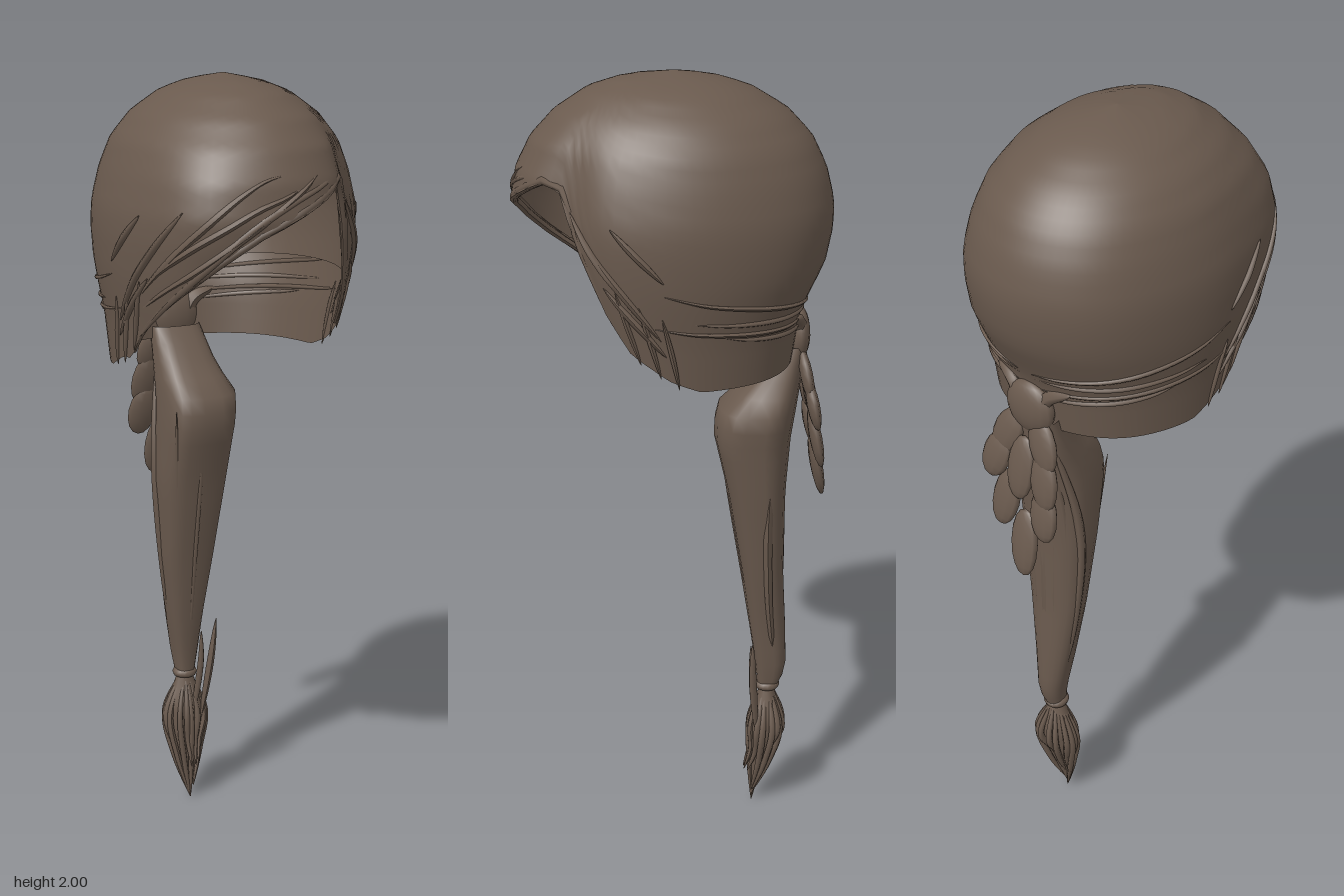
import * as THREE from 'three';

const DEG = Math.PI / 180;

// piecewise linear lookup in rows of [key, value, ...]
function look(table, key, col = 1) {
  let i = 1;
  while (i < table.length - 1 && key > table[i][0]) i++;
  const a = table[i - 1], b = table[i];
  const t = Math.min(1, Math.max(0, (key - a[0]) / (b[0] - a[0])));
  return a[col] + (b[col] - a[col]) * t;
}

// closed-ring surface: fn(row fraction, angle in degrees) -> Vector3
function rings(rows, cols, fn) {
  const pos = [], idx = [];
  for (let i = 0; i <= rows; i++) {
    for (let j = 0; j < cols; j++) {
      const p = fn(i / rows, (j / cols) * 360 - 180);
      pos.push(p.x, p.y, p.z);
      if (i === rows) continue;
      const a = i * cols + j, b = i * cols + (j + 1) % cols;
      idx.push(a, a + cols, b + cols, a, b + cols, b);
    }
  }
  const g = new THREE.BufferGeometry();
  g.setAttribute('position', new THREE.Float32BufferAttribute(pos, 3));
  g.setIndex(idx);
  g.computeVertexNormals();
  return g;
}

// head outline by height: y, half width, front depth, back depth
const LEVELS = [
  [1.3, 0.275, 0.25, 0.288], [1.44, 0.288, 0.31, 0.308], [1.48, 0.295, 0.325, 0.328],
  [1.56, 0.305, 0.35, 0.365], [1.64, 0.308, 0.375, 0.38], [1.7, 0.304, 0.385, 0.38],
  [1.78, 0.284, 0.37, 0.36], [1.85, 0.258, 0.335, 0.325], [1.91, 0.212, 0.28, 0.268],
  [1.96, 0.145, 0.205, 0.185], [1.985, 0.08, 0.13, 0.105], [2, 0, 0, 0],
];
// lower edge of the hair by angle from the front, towards +x
const HEM = [
  [-180, 1.31], [-100, 1.31], [-82, 1.35], [-74, 1.35], [-68, 1.41], [-58, 1.46], [-42, 1.54],
  [-30, 1.6], [-16, 1.66], [0, 1.7], [18, 1.74], [34, 1.78], [42, 1.75], [50, 1.62], [58, 1.5],
  [68, 1.4], [85, 1.34], [100, 1.31], [180, 1.31],
];

// point on the head at an angle and height
function onHead(deg, y, scale = 1) {
  const s = Math.sin(deg * DEG), c = Math.cos(deg * DEG);
  const low = THREE.MathUtils.smoothstep(2 - y, 0.05, 0.25);
  const bump = (at, w) => Math.exp(-(((deg - at) / w) ** 2));
  const k = scale * (1 + low * (0.08 * bump(-42, 22) - 0.08 * bump(46, 12)
    + 0.02 * bump(-138, 20) + 0.02 * bump(138, 20)));
  return new THREE.Vector3(
    look(LEVELS, y) * s * k, y, look(LEVELS, y, c > 0 ? 2 : 3) * c * k);
}

export function createModel() {
  const group = new THREE.Group();
  const hair = new THREE.MeshStandardMaterial({ color: 0x6a5a4e, side: THREE.DoubleSide });
  hair.name = 'brown hair';

  const add = (name, geometry, parent = group) => {
    const mesh = new THREE.Mesh(geometry, hair);
    mesh.name = name;
    parent.add(mesh);
    return mesh;
  };
  const addGroup = (name) => {
    const g = new THREE.Group();
    g.name = name;
    group.add(g);
    return g;
  };

  // tapered strand through a few points
  const lock = (name, points, radius, parent, endTaper = 0.1) => {
    const curve = new THREE.CatmullRomCurve3(points);
    const n = 24, sides = 6;
    const g = new THREE.TubeGeometry(curve, n, radius, sides);
    const p = g.attributes.position, v = new THREE.Vector3();
    for (let i = 0; i <= n; i++) {
      const c = curve.getPointAt(i / n);
      const k = Math.max(endTaper, Math.sin(Math.PI * i / n) ** 0.6);
      for (let j = 0; j <= sides; j++) {
        const q = i * (sides + 1) + j;
        v.fromBufferAttribute(p, q).sub(c).multiplyScalar(k).add(c);
        p.setXYZ(q, v.x, v.y, v.z);
      }
    }
    g.computeVertexNormals();
    add(name, g, parent);
  };

  // strand lying on the head between two [angle, height] points
  const sweep = (name, from, to, radius, parent, bend = 1) => {
    const pts = [];
    for (let k = 0; k <= 6; k++) {
      const t = k / 6;
      pts.push(onHead(from[0] + (to[0] - from[0]) * t, from[1] + (to[1] - from[1]) * t ** bend, 1.004));
    }
    lock(name, pts, radius, parent);
  };

  // swept cap with a slanted fringe
  add('hairCap', rings(28, 80, (t, a) => onHead(a, 2 - (2 - look(HEM, a)) * t ** 1.6)));

  // inner scalp, ending above the nape
  add('innerScalp', rings(16, 40, (t, a) => {
    const hem = Math.max(look(HEM, a) + 0.02, 1.495 + 0.035 * Math.abs(Math.sin(a * DEG)));
    return onHead(a, 1.98 - (1.98 - hem) * t ** 1.6, 0.95);
  }));

  // thick edge around the face
  const rim = [];
  for (let a = -84; a <= 74; a += 6) rim.push(onHead(a, look(HEM, a) + 0.008, 0.98));
  lock('fringeEdge', rim, 0.011, group, 0.5);

  // fringe folds sweeping from the parting to the other side
  const fringe = addGroup('fringeFolds');
  for (let i = 0; i < 4; i++) {
    const pts = [];
    for (let k = 0; k <= 6; k++) {
      const a = 34 - 12 * i - k * (17 - 2 * i);
      pts.push(onHead(a, look(HEM, a) + 0.02 + i * 0.03 + 0.02 * Math.sin(k * 0.8 + i * 2), 0.994));
    }
    lock('fringeFold', pts, 0.009, fringe);
  }

  // side strands falling from the temples, then drawn back to the knot
  const strands = addGroup('sideStrands');
  for (const side of [-1, 1]) {
    for (const [a0, y0, a1, y1] of [
      [46, 1.72, 74, 1.5], [54, 1.66, 82, 1.44], [60, 1.56, 84, 1.4], [66, 1.7, 84, 1.58],
    ]) sweep('templeStrand', [side * a0, y0], [side * a1, y1], 0.009, strands);
    for (const [a0, y0, a1, y1] of [
      [84, 1.55, 176, 1.465], [96, 1.48, 176, 1.45], [80, 1.47, 174, 1.42], [110, 1.44, 174, 1.4],
    ]) sweep('drawnStrand', [side * a0, y0], [side * a1, y1], 0.006, strands, 0.7);
    for (const a of [70, 79, 88]) {
      const y = look(HEM, side * a);
      sweep('earWisp', [side * (a - 5), y + 0.16], [side * (a + 2), y - 0.015], 0.007, strands);
    }
  }

  // knot at the nape with two bands drawn into it
  const knot = add('knot', new THREE.SphereGeometry(1, 16, 12));
  knot.scale.set(0.07, 0.07, 0.03);
  knot.position.set(0, 1.36, -0.305);
  for (const side of [-1, 1]) {
    lock('knotBand', [new THREE.Vector3(side * 0.11, 1.43, -0.29),
      new THREE.Vector3(side * 0.05, 1.4, -0.3), new THREE.Vector3(side * 0.02, 1.3, -0.3)], 0.02);
  }

  // ponytail with a broad, squarish front: y, left x, right x, front z, back z
  const TAIL = [
    [0.36, 0.022, -0.022, -0.225, -0.275], [0.42, 0.035, -0.03, -0.22, -0.3],
    [0.55, 0.048, -0.052, -0.2, -0.295], [0.72, 0.072, -0.075, -0.175, -0.285],
    [0.95, 0.1, -0.09, -0.135, -0.285], [1.1, 0.115, -0.085, -0.1, -0.295],
    [1.17, 0.125, -0.08, -0.105, -0.305], [1.24, 0.09, -0.075, -0.18, -0.315],
    [1.34, 0.065, -0.07, -0.26, -0.325],
  ];
  add('ponytail', rings(24, 20, (t, a) => {
    const y = 1.34 - 0.98 * t, s = Math.sin(a * DEG), c = Math.cos(a * DEG);
    const zf = look(TAIL, y, 3), zb = look(TAIL, y, 4), zm = zb + (zf - zb) * 0.4;
    const w = look(TAIL, y, s > 0 ? 1 : 2);
    return c > 0
      ? new THREE.Vector3(w * Math.abs(s) ** 0.7, y, zm + (zf - zm) * c ** 0.7)
      : new THREE.Vector3(w * Math.abs(s), y, zm + (zm - zb) * c);
  }));
  const tailStrands = addGroup('ponytailStrands');
  for (let i = 0; i < 7; i++) {
    const f = (i - 3) / 3, z = 0.035 * f * f;
    lock('ponytailStrand', [
      new THREE.Vector3(f * 0.05, 1.3, -0.3), new THREE.Vector3(f * 0.085, 1, -0.275 + z),
      new THREE.Vector3(f * 0.065, 0.7, -0.275 + z), new THREE.Vector3(f * 0.02, 0.4, -0.27),
    ], 0.013, tailStrands);
  }
  // long folds down the front
  for (const f of [-0.6, 0, 0.6]) {
    lock('frontFold', [1.15, 0.95, 0.7, 0.42].map((y) => new THREE.Vector3(
      f * look(TAIL, y), y, look(TAIL, y, 3) - 0.004 - 0.04 * f * f)), 0.008, tailStrands);
  }

  // tie near the end of the ponytail
  const tie = add('tie', new THREE.TorusGeometry(0.022, 0.012, 8, 16));
  tie.rotation.x = Math.PI / 2;
  tie.position.set(0, 0.37, -0.25);

  // brush-like tip: core and fine strands
  const TIP = [[0.02, 0.003], [0.12, 0.024], [0.2, 0.045], [0.28, 0.052], [0.34, 0.03], [0.37, 0.02]];
  add('tipCore', rings(14, 12, (t, a) => {
    const y = 0.37 - 0.35 * t, r = look(TIP, y);
    return new THREE.Vector3(r * Math.sin(a * DEG), y,
      -0.25 + 0.035 * t ** 2 + r * 0.8 * Math.cos(a * DEG));
  }));
  const tip = addGroup('tipStrands');
  for (let i = 0; i < 16; i++) {
    const a = i * 137.5 * DEG, s = Math.sin(a), c = Math.cos(a), end = (i % 5) * 0.035;
    lock('tipStrand', [
      new THREE.Vector3(0.015 * s, 0.36, -0.25 + 0.015 * c),
      new THREE.Vector3(0.058 * s, 0.25, -0.25 + 0.045 * c),
      new THREE.Vector3(0.038 * s, 0.13 + end * 0.4, -0.238 + 0.03 * c),
      new THREE.Vector3(0.008 * s * (i % 5), end, -0.215 + 0.008 * c * (i % 5)),
    ], 0.009, tip);
  }
  // stray wisps rising beside the tie
  for (const [x0, y0, x1, x2] of [[0.075, 0.53, 0.06, 0.035], [0.03, 0.5, 0.03, 0.01]]) {
    lock('strayWisp', [new THREE.Vector3(x0, y0, -0.203), new THREE.Vector3(x1, 0.41, -0.207),
      new THREE.Vector3(x2, 0.23, -0.222)], 0.01, tip);
  }

  // leaf-shaped curls behind the knot: x, y, z, half length, tilt
  const curls = addGroup('curls');
  for (const [x, y, z, len, tilt] of [
    [-0.05, 1.28, -0.322, 0.07, -0.4], [0.06, 1.27, -0.322, 0.07, 0.4],
    [-0.065, 1.19, -0.338, 0.075, -0.2], [0.085, 1.2, -0.338, 0.065, 0.3],
    [0.005, 1.2, -0.34, 0.085, 0], [-0.072, 1.1, -0.35, 0.07, -0.15],
    [0.045, 1.1, -0.352, 0.08, 0.15], [-0.02, 1.0, -0.365, 0.09, -0.1],
  ]) {
    const curl = add('curl', new THREE.SphereGeometry(1, 10, 8), curls);
    curl.scale.set(0.042, len, 0.016);
    curl.rotation.set(0.2, 0, tilt);
    curl.position.set(x, y, z);
  }
  return group;
}
